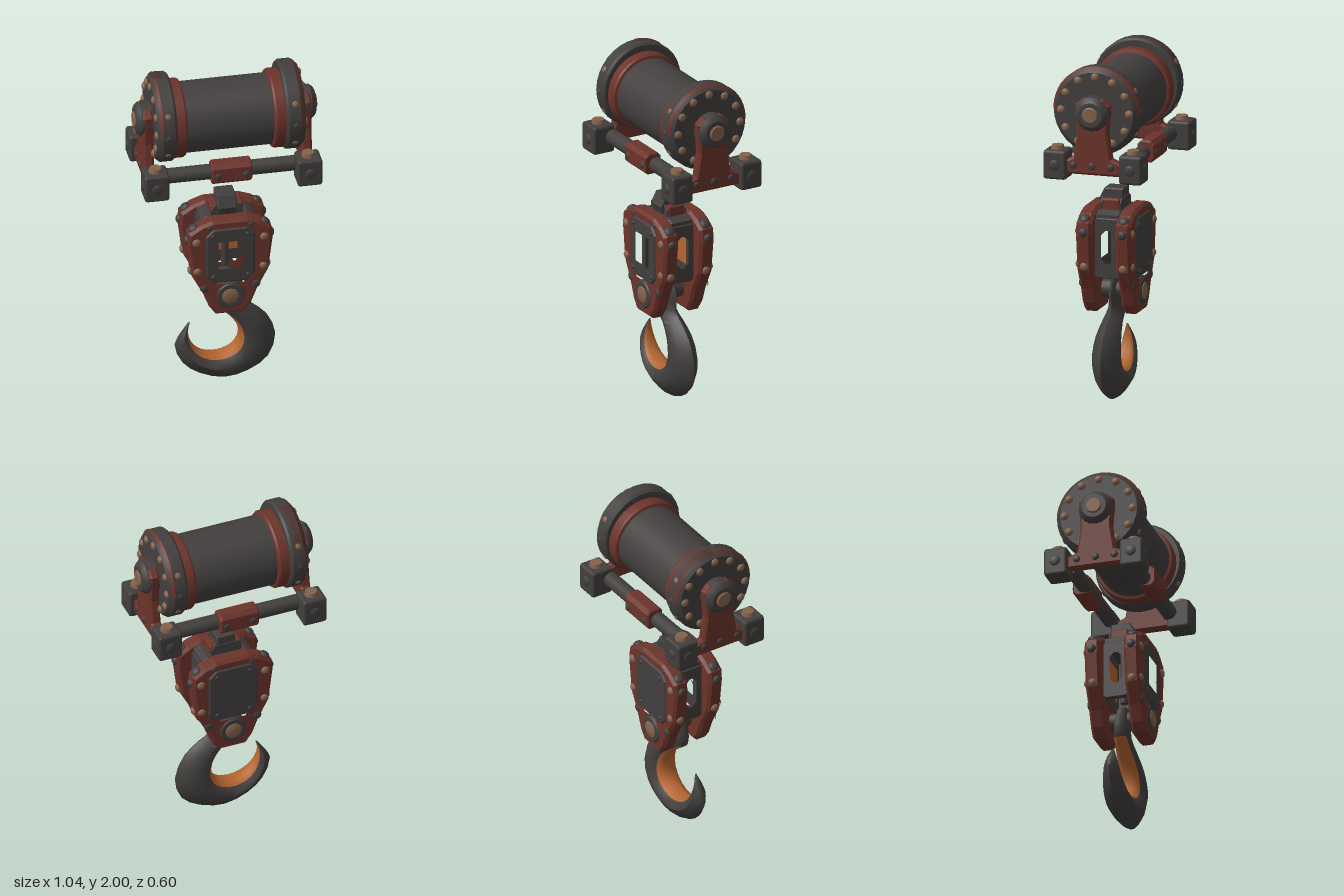
import * as THREE from 'three';
import { toCreasedNormals } from 'three/addons/utils/BufferGeometryUtils.js';
import { RoundedBoxGeometry } from 'three/addons/geometries/RoundedBoxGeometry.js';

const mat = (name, color) => {
  const m = new THREE.MeshStandardMaterial({ color });
  m.name = name;
  return m;
};
const UP = new THREE.Vector3(0, 1, 0);

export function createModel() {
  const iron = mat('dark iron', 0x423f3e);
  const red = mat('rust red paint', 0x6c332a);
  const bronze = mat('bronze', 0x83634b);
  const orange = mat('bare orange', 0xb5652f);
  const rust = mat('dark rust', 0x4d322e);

  const root = new THREE.Group();
  root.name = 'winchAndHook';

  const group = (parent, name, x = 0, y = 0, z = 0) => {
    const g = new THREE.Group();
    g.name = name;
    g.position.set(x, y, z);
    parent.add(g);
    return g;
  };
  const add = (parent, name, geo, material, x = 0, y = 0, z = 0) => {
    const m = new THREE.Mesh(geo, material);
    m.name = name;
    m.position.set(x, y, z);
    parent.add(m);
    return m;
  };
  const box = (w, h, d, r = 0.012) => new RoundedBoxGeometry(w, h, d, 1, r);
  // Solid of revolution about the x axis, profile given as [x, radius]
  const turned = (profile, sides = 32, start = 0, sweep = Math.PI * 2) => {
    const g = new THREE.LatheGeometry(profile.map(([x, r]) => new THREE.Vector2(r, x)), sides, start, sweep);
    return toCreasedNormals(g.rotateZ(-Math.PI / 2), 0.5);
  };
  // Bevelled plate centred on its thickness
  const plate = (points, depth, bevel = 0.012, hole = null) => {
    const shape = new THREE.Shape(points.map(p => new THREE.Vector2(...p)));
    if (hole) shape.holes.push(new THREE.Path(hole.map(p => new THREE.Vector2(...p))));
    const g = new THREE.ExtrudeGeometry(shape, {
      depth: depth - 2 * bevel, bevelEnabled: true, bevelSegments: 1,
      bevelSize: bevel, bevelThickness: bevel, bevelOffset: -bevel,
    });
    return g.translate(0, 0, bevel - depth / 2);
  };
  const mirrored = half => [...half, ...half.map(([x, y]) => [-x, y]).reverse()];
  const chamfered = (w, y0, y1, c) => mirrored([[w - c, y1], [w, y1 - c], [w, y0 + c], [w - c, y0]]);
  const rivet = (parent, material, r, pos, normal, height = 0.7) => {
    const g = new THREE.SphereGeometry(r, 10, 4, 0, Math.PI * 2, 0, Math.PI / 2).scale(1, height, 1);
    const m = add(parent, 'rivet', g, material, ...pos);
    m.quaternion.setFromUnitVectors(UP, new THREE.Vector3(...normal).normalize());
  };

  // ---- Winch drum ----
  const winch = group(root, 'winch', 0, 1.747, 0.008);
  add(winch, 'drum', turned([[-0.33, 0.202], [0.33, 0.202]], 40), iron, 0, -0.018);

  for (const s of [1, -1]) {
    const end = group(winch, s > 0 ? 'leftEnd' : 'rightEnd');
    end.rotation.y = s > 0 ? 0 : Math.PI;
    add(end, 'collar', turned([[0.245, 0.2], [0.25, 0.218], [0.26, 0.224], [0.33, 0.224]]), red, 0, -0.018);
    add(end, 'flange', turned([[0.312, 0.2], [0.312, 0.242], [0.325, 0.253], [0.392, 0.253],
      [0.407, 0.24], [0.422, 0.225], [0.422, 0]]), iron);
    // Worn paint along the upper rim, and a rust patch on one side
    add(end, 'rimPaint', turned([[0.393, 0.2545], [0.4085, 0.2415]], 20, Math.PI, Math.PI), red);
    if (s < 0) add(end, 'rustPatch', turned([[0.35, 0.2545], [0.393, 0.2545], [0.4085, 0.2425]], 10, 4.7, 1.1), rust);
    add(end, 'hub', turned([[0.41, 0.098], [0.485, 0.098], [0.505, 0.082], [0.512, 0.07], [0.512, 0]], 16), iron);
    add(end, 'axleCap', turned([[0.5, 0.047], [0.516, 0.047], [0.522, 0.04], [0.522, 0]], 12), bronze);
    for (let i = 0; i < 12; i++) {
      const a = i * Math.PI / 6, c = Math.cos(a), n = Math.sin(a);
      rivet(end, bronze, 0.025, [0.42, 0.2 * c, 0.2 * n], [1, 0, 0]);
      if (Math.abs(c) < 0.6) rivet(end, i % 3 ? bronze : iron, 0.018, [0.362, 0.252 * c, 0.252 * n], [0, c, n], 0.4);
    }
    // Bearing support, flared at the foot
    const foot = mirrored([[0.06, 0.085], [0.1, 0.05], [0.09, -0.12], [0.112, -0.255], [0.17, -0.28], [0.17, -0.352]]);
    add(end, 'bearingSupport', plate(foot, 0.06).rotateY(-Math.PI / 2), red, 0.45);
    for (const [y, z] of [[-0.3, 0], [-0.3, 0.11], [-0.3, -0.11]])
      rivet(end, iron, 0.022, [0.479, y, z], [1, 0, 0], 0.5);
  }

  // ---- Base frame ----
  const base = group(root, 'baseFrame');
  for (const sz of [1, -1]) {
    add(base, 'rail', turned([[-0.38, 0.044], [0.38, 0.044]], 16), iron, 0, 1.455, sz * 0.172);
    const sleeve = plate(chamfered(0.052, -0.062, 0.062, 0.022), 0.23, 0.008).rotateY(Math.PI / 2);
    add(base, 'railSleeve', sleeve, red, 0, 1.463, sz * 0.19);
    for (const sx of [1, -1]) {
      rivet(base, iron, 0.022, [sx * 0.08, 1.455, sz * 0.241], [0, 0, sz], 0.4);
      const corner = group(base, 'cornerBlock', sx * 0.435, 1.443, sz * 0.222);
      add(corner, 'block', box(0.142, 0.165, 0.135, 0.016), iron);
      add(corner, 'topNut', new THREE.CylinderGeometry(0.034, 0.04, 0.026, 10), bronze, 0, 0.093);
      rivet(corner, iron, 0.032, [0, 0, sz * 0.066], [0, 0, sz], 0.35);
      rivet(corner, iron, 0.032, [sx * 0.07, 0, 0], [sx, 0, 0], 0.3);
    }
  }

  // ---- Hook block ----
  const block = group(root, 'hookBlock', 0, 0, 0.024);
  const cheek = mirrored([[0.1, 1.125], [0.17, 1.1], [0.237, 1.055], [0.243, 0.98],
    [0.218, 0.78], [0.155, 0.66], [0.12, 0.57], [0.08, 0.515]]);
  const opening = mirrored([[0.08, 1.055], [0.11, 1.03], [0.11, 0.75], [0.085, 0.7]]);
  for (const s of [1, -1]) {
    const side = group(block, s > 0 ? 'frontCheek' : 'backCheek');
    side.rotation.y = s > 0 ? 0 : Math.PI;
    add(side, 'cheekPlate', plate(cheek, 0.09, 0.016, opening), red, 0, 0, 0.115);
    // Framed window in front, closed panel behind
    const windowHole = s > 0 ? chamfered(0.083, 0.805, 1.005, 0.012) : null;
    const panel = chamfered(s > 0 ? 0.143 : 0.152, 0.725, 1.08, 0.045);
    add(side, 'centrePanel', plate(panel, 0.1, 0.012, windowHole), iron, 0, 0, 0.119);
    for (const sx of [1, -1]) {
      for (const y of [0.77, 1.035]) rivet(side, iron, 0.013, [sx * 0.098, y, 0.168], [0, 0, 1]);
      rivet(side, bronze, 0.026, [sx * 0.193, 1.0, 0.157], [0, 0, 1]);
      rivet(side, bronze, 0.024, [sx * 0.188, 0.81, 0.157], [0, 0, 1]);
      rivet(side, iron, 0.028, [sx * 0.145, 0.695, 0.153], [0, 0, 1], 0.5);
      rivet(side, iron, 0.028, [sx * 0.238, 1.0, 0.115], [sx, 0, 0]);
      rivet(side, bronze, 0.026, [sx * 0.218, 0.8, 0.115], [sx, -0.15, 0]);
      rivet(side, iron, 0.032, [sx * 0.205, 1.072, 0.115], [sx, 1.4, 0]);
      rivet(side, iron, 0.022, [sx * 0.115, 1.09, 0.15], [0, 0.4, 1]);
    }
    const boss = turned([[0.08, 0.085], [0.155, 0.085], [0.168, 0.072], [0.168, 0]], 20).rotateY(-Math.PI / 2);
    add(side, 'pinBoss', boss, iron, 0, 0.635);
    const cap = turned([[0.16, 0.05], [0.172, 0.048], [0.178, 0.035], [0.178, 0]], 16).rotateY(-Math.PI / 2);
    add(side, 'pinCap', cap, bronze, 0, 0.635);
    // Slotted wall between the cheeks
    const wall = plate(chamfered(0.08, 0.725, 1.07, 0.02), 0.035, 0.005, chamfered(0.042, 0.805, 1.005, 0.03));
    add(side, 'sideWall', wall.rotateY(Math.PI / 2), iron, 0.14);
  }
  const lining = [[-0.075, 1], [-0.035, 0.8], [0.085, 0.8], [0.085, 1]];
  add(block, 'innerLining', plate(lining, 0.008, 0.001), orange, 0, 0, -0.068);
  add(block, 'centreRod', new THREE.CylinderGeometry(0.022, 0.022, 0.31, 12), iron, 0, 0.905, 0);
  add(block, 'pivotPin', new THREE.CylinderGeometry(0.055, 0.055, 0.2, 16).rotateX(Math.PI / 2), iron, 0, 0.635, 0);

  // Crown and lifting lug
  add(block, 'crown', plate(mirrored([[0.115, 1.11], [0.15, 1.09], [0.15, 1.055]]), 0.15), iron);
  add(block, 'lugSeat', box(0.19, 0.11, 0.106), red, 0, 1.115, 0);
  for (const sz of [1, -1])
    add(block, 'seatPlate', plate(chamfered(0.092, 1.07, 1.172, 0.025), 0.009, 0.002), iron, 0, 0, sz * 0.056);
  const lug = plate([[-0.05, 1.1], [0.06, 1.1], [0.082, 1.16], [0.05, 1.222], [-0.06, 1.222], [-0.06, 1.175], [-0.04, 1.16]], 0.11, 0.006);
  add(block, 'liftingLug', lug.rotateY(-Math.PI / 2), iron);

  // ---- Hook: inner point, outer point and half width along its curve ----
  const stations = [
    [-0.05, 0.705, 0.05, 0.705, 0.035], [-0.1, 0.6, 0.09, 0.62, 0.045], [-0.09, 0.51, 0.08, 0.53, 0.05],
    [-0.005, 0.445, 0.15, 0.475, 0.06], [0.055, 0.375, 0.235, 0.395, 0.075], [0.08, 0.29, 0.287, 0.26, 0.086],
    [0.06, 0.225, 0.245, 0.115, 0.088], [0.01, 0.185, 0.135, 0.035, 0.085], [-0.06, 0.17, 0, 0.004, 0.08],
    [-0.125, 0.185, -0.14, 0.045, 0.073], [-0.175, 0.225, -0.24, 0.125, 0.06], [-0.203, 0.28, -0.287, 0.25, 0.043],
    [-0.212, 0.335, -0.25, 0.325, 0.025], [-0.2, 0.385, -0.208, 0.387, 0.004],
  ];
  const innerCurve = new THREE.CatmullRomCurve3(stations.map(([x, y, , , w]) => new THREE.Vector3(x, y, w)));
  const outerCurve = new THREE.CatmullRomCurve3(stations.map(([, , x, y]) => new THREE.Vector3(x, y, 0)));
  const section = [[1, 0], [0.92, 0.27], [0.72, 0.66], [0.43, 1], [0.1, 0.72], [0, 0.35],
    [0, -0.35], [0.1, -0.72], [0.43, -1], [0.72, -0.66], [0.92, -0.27]];
  const n = section.length, steps = 2 * (stations.length - 1);
  const pos = [], outerFaces = [], innerFaces = [];
  for (let i = 0; i <= steps; i++) {
    const p = innerCurve.getPoint(i / steps), q = outerCurve.getPoint(i / steps);
    for (const [u, v] of section) pos.push(p.x + (q.x - p.x) * u, p.y + (q.y - p.y) * u, v * p.z);
    if (i === steps) break;
    for (let j = 0; j < n; j++) {
      const a = i * n + j, b = i * n + (j + 1) % n;
      const faces = i >= 4 && j >= 4 && j <= 6 ? innerFaces : outerFaces;
      faces.push(a, b, a + n, b, b + n, a + n);
    }
  }
  const last = steps * n;
  for (let j = 1; j < n - 1; j++) outerFaces.push(0, j + 1, j, last, last + j, last + j + 1);
  const hookGeo = new THREE.BufferGeometry();
  hookGeo.setAttribute('position', new THREE.Float32BufferAttribute(pos, 3));
  hookGeo.setIndex([...outerFaces, ...innerFaces]);
  hookGeo.addGroup(0, outerFaces.length, 0);
  hookGeo.addGroup(outerFaces.length, innerFaces.length, 1);
  add(root, 'hook', toCreasedNormals(hookGeo, 0.9), [iron, orange], 0, 0, 0.024);

  return root;
}
